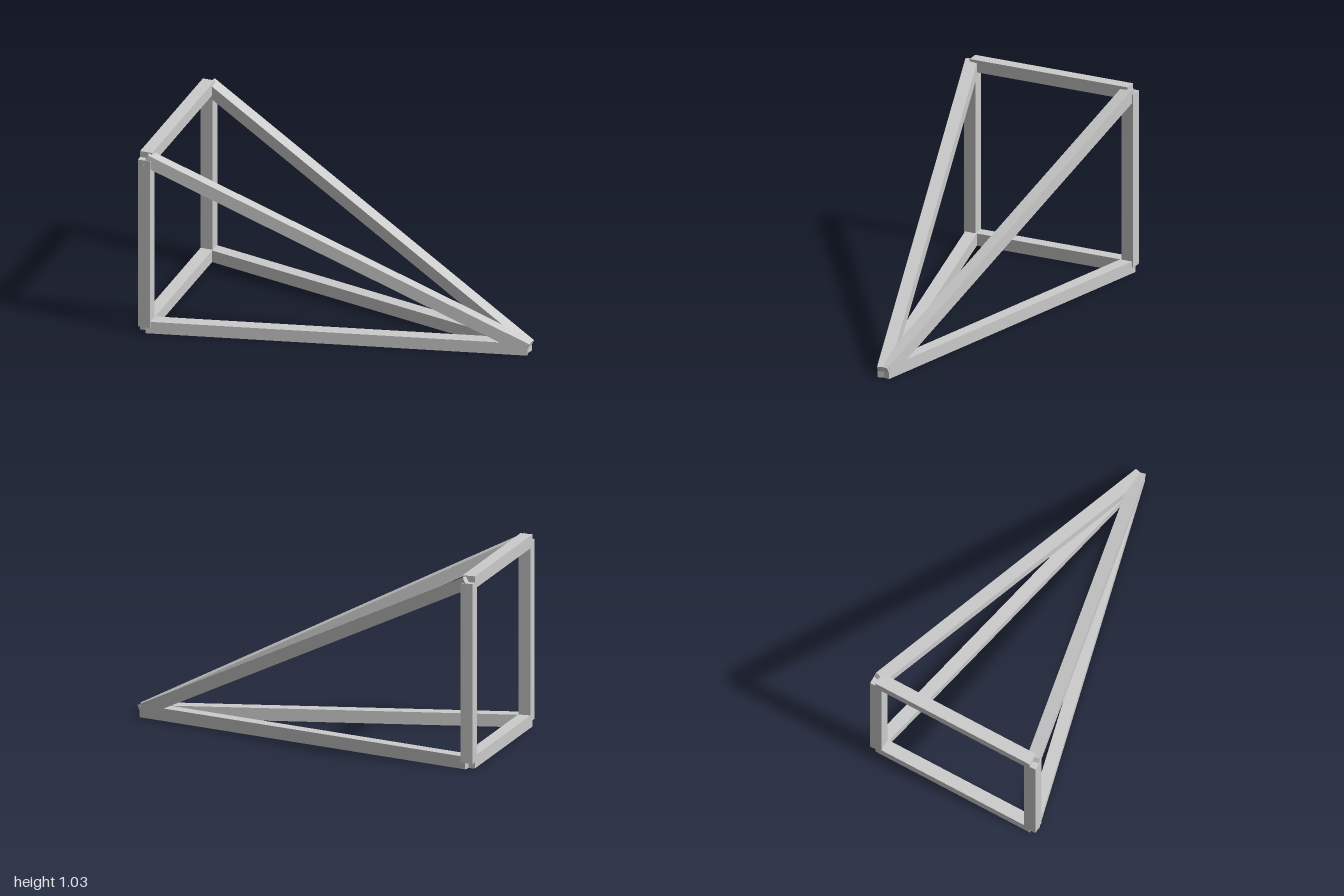
import * as THREE from 'three';

const T = 0.067; // bar thickness
const H = T / 2;

export function createModel() {
  const group = new THREE.Group();
  const material = new THREE.MeshStandardMaterial({ color: 0xcccccc, flatShading: true });

  // Square bar running from node to node, kept upright along its length
  function bar(name, a, b) {
    const mesh = new THREE.Mesh(new THREE.BoxGeometry(T, T, a.distanceTo(b)), material);
    mesh.name = name;
    mesh.position.copy(a);
    mesh.lookAt(b);
    mesh.position.lerp(b, 0.5);
    group.add(mesh);
  }

  // Joint centres: four base corners and the tip
  const corner = (y, z) => new THREE.Vector3(-1 + H, y, z);
  const low = H, high = 0.996, side = 0.457;
  const tip = new THREE.Vector3(0.978, low, 0);

  // Posts and long bars to the tip, mirrored in z
  for (const [label, s] of [['front', 1], ['back', -1]]) {
    bar(label + 'Post', corner(low, s * side), corner(high, s * side));
    bar(label + 'FloorBar', corner(low, s * side), tip);
    bar(label + 'SlopedBar', corner(high, s * side), tip);
  }

  // Cross bars closing the square end
  bar('lowerCrossBar', corner(low, -side), corner(low, side));
  bar('upperCrossBar', corner(high, -side), corner(high, side));

  return group;
}
